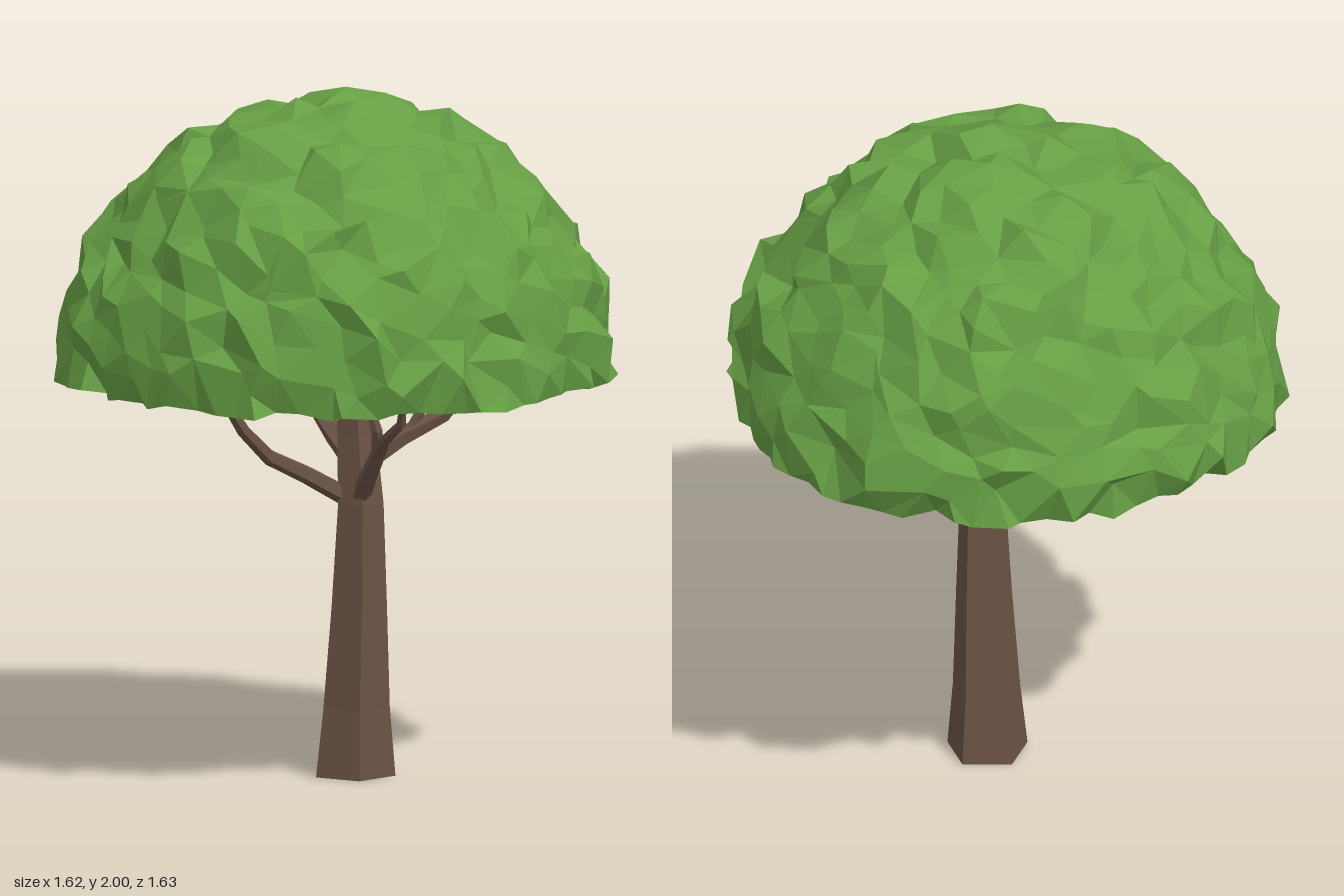
import * as THREE from 'three';
import { ConvexGeometry } from 'three/addons/geometries/ConvexGeometry.js';

const bark = new THREE.MeshStandardMaterial({ color: 0x6a5244, flatShading: true });
const leaf = new THREE.MeshStandardMaterial({ color: 0x669e44, flatShading: true });

// Repeatable pseudo-random value in -1..1 for a point
function noise(p, k) {
  const s = Math.sin(p.x * 127.1 + p.y * 311.7 + p.z * 74.7 + k * 53.3) * 43758.5453;
  return (s - Math.floor(s)) * 2 - 1;
}

// Faceted tapering limb; each station is [x, y, z, radius]
function limb(name, stations, sides = 5) {
  const pts = stations.map(([x, y, z]) => new THREE.Vector3(x, y, z));
  const pos = [], index = [], n = pts.length;
  pts.forEach((p, i) => {
    const dir = pts[Math.min(i + 1, n - 1)].clone().sub(pts[Math.max(i - 1, 0)]).normalize();
    if (name === 'trunk') dir.set(0, 1, 0);
    const u = new THREE.Vector3(0, 0, 1).addScaledVector(dir, -dir.z).normalize();
    const v = dir.clone().cross(u);
    for (let j = 0; j < sides; j++) {
      const a = (j + 0.375) / sides * Math.PI * 2;
      const q = p.clone().addScaledVector(u, Math.cos(a) * stations[i][3])
        .addScaledVector(v, Math.sin(a) * stations[i][3]);
      pos.push(q.x, q.y, q.z);
    }
  });
  for (let i = 0; i < n - 1; i++) for (let j = 0; j < sides; j++) {
    const k = (j + 1) % sides, a = i * sides + j, b = i * sides + k;
    index.push(a, b, a + sides, b, b + sides, a + sides);
  }
  // End caps
  const top = (n - 1) * sides;
  for (let j = 1; j < sides - 1; j++) index.push(0, j + 1, j, top, top + j, top + j + 1);
  const geo = new THREE.BufferGeometry();
  geo.setAttribute('position', new THREE.Float32BufferAttribute(pos, 3));
  geo.setIndex(index);
  const flat = geo.toNonIndexed();
  flat.computeVertexNormals();
  const mesh = new THREE.Mesh(flat, bark);
  mesh.name = name;
  return mesh;
}

// Dome of jittered facets, closed underneath by a flat fan
function crown() {
  const pts = [], rim = 72, count = 430;
  for (let i = 0; i < rim; i++) {
    const a = i / rim * Math.PI * 2;
    pts.push(new THREE.Vector3(Math.cos(a), 0, Math.sin(a)));
  }
  for (let i = 0; i < count; i++) {
    const y = 0.06 + 0.939 * (i + 0.5) / count, a = i * 2.399963;
    const p = new THREE.Vector3(Math.cos(a), 0, Math.sin(a));
    p.x += noise(p, 1) * 0.06;
    p.z += noise(p, 2) * 0.06;
    p.normalize().multiplyScalar(Math.sqrt(1 - y * y));
    pts.push(p.setY(y).normalize());
  }
  pts.push(new THREE.Vector3(0, -0.03, 0));
  const geo = new ConvexGeometry(pts);
  const pos = geo.attributes.position, p = new THREE.Vector3();
  for (let i = 0; i < pos.count; i++) {
    p.fromBufferAttribute(pos, i);
    if (p.y < -0.01) { pos.setXYZ(i, 0, 1.175, 0); continue; }
    // Round coordinates so shared corners move together
    const key = p.clone().multiplyScalar(1000).round().divideScalar(100);
    const onRim = p.y < 0.01;
    const r = (onRim ? 0.785 : 0.8) + 0.028 * noise(key, 3);
    const x = p.x * r + 0.02 * noise(key, 4);
    const z = p.z * r + 0.02 * noise(key, 5);
    const y = onRim ? 1.177 + 0.012 * noise(key, 6)
      : Math.max(1.19, 1.185 + p.y * r + 0.022 * noise(key, 6));
    pos.setXYZ(i, x, Math.min(y, 2), z);
  }
  geo.computeVertexNormals();
  const mesh = new THREE.Mesh(geo, leaf);
  mesh.name = 'crown';
  return mesh;
}

export function createModel() {
  const tree = new THREE.Group();
  tree.name = 'tree';
  tree.add(crown());

  // Trunk with a flared foot
  tree.add(limb('trunk', [
    [0.03, 0, 0.041, 0.122], [0.03, 0.2, 0.045, 0.102], [0.027, 0.5, 0.058, 0.085],
    [0.025, 0.8, 0.066, 0.07], [0.025, 1.0, 0.052, 0.06], [0.025, 1.22, 0.04, 0.053],
  ]));

  // Branches and the twigs forking from them
  const branches = {
    rightBranch: [[0, 0.82, 0.04, 0.03], [-0.1, 0.89, -0.03, 0.027], [-0.21, 0.95, -0.08, 0.024],
      [-0.3, 1.04, -0.11, 0.02], [-0.4, 1.19, -0.14, 0.012]],
    frontBranch: [[0, 0.83, 0.09, 0.03], [-0.05, 0.89, 0.15, 0.027], [-0.1, 0.98, 0.23, 0.023],
      [-0.18, 1.03, 0.31, 0.018], [-0.24, 1.1, 0.42, 0.015], [-0.28, 1.19, 0.46, 0.011]],
    frontTwig: [[-0.09, 0.96, 0.22, 0.02], [-0.12, 1.05, 0.24, 0.017], [-0.14, 1.19, 0.2, 0.012]],
    backBranch: [[0.04, 0.92, 0.03, 0.034], [0.09, 0.98, -0.08, 0.03], [0.14, 1.05, -0.19, 0.026],
      [0.18, 1.19, -0.29, 0.017]],
    backTwig: [[0.13, 1.04, -0.17, 0.02], [0.18, 1.08, -0.3, 0.016], [0.22, 1.11, -0.39, 0.014],
      [0.25, 1.19, -0.48, 0.009]],
    leftBranch: [[0.04, 0.92, 0.07, 0.034], [0.13, 0.99, 0.14, 0.029], [0.22, 1.05, 0.22, 0.024],
      [0.3, 1.19, 0.31, 0.014]],
    leftTwig: [[0.14, 0.99, 0.15, 0.018], [0.17, 1.07, 0.18, 0.015], [0.2, 1.19, 0.19, 0.011]],
  };
  for (const [name, path] of Object.entries(branches)) tree.add(limb(name, path));
  return tree;
}
